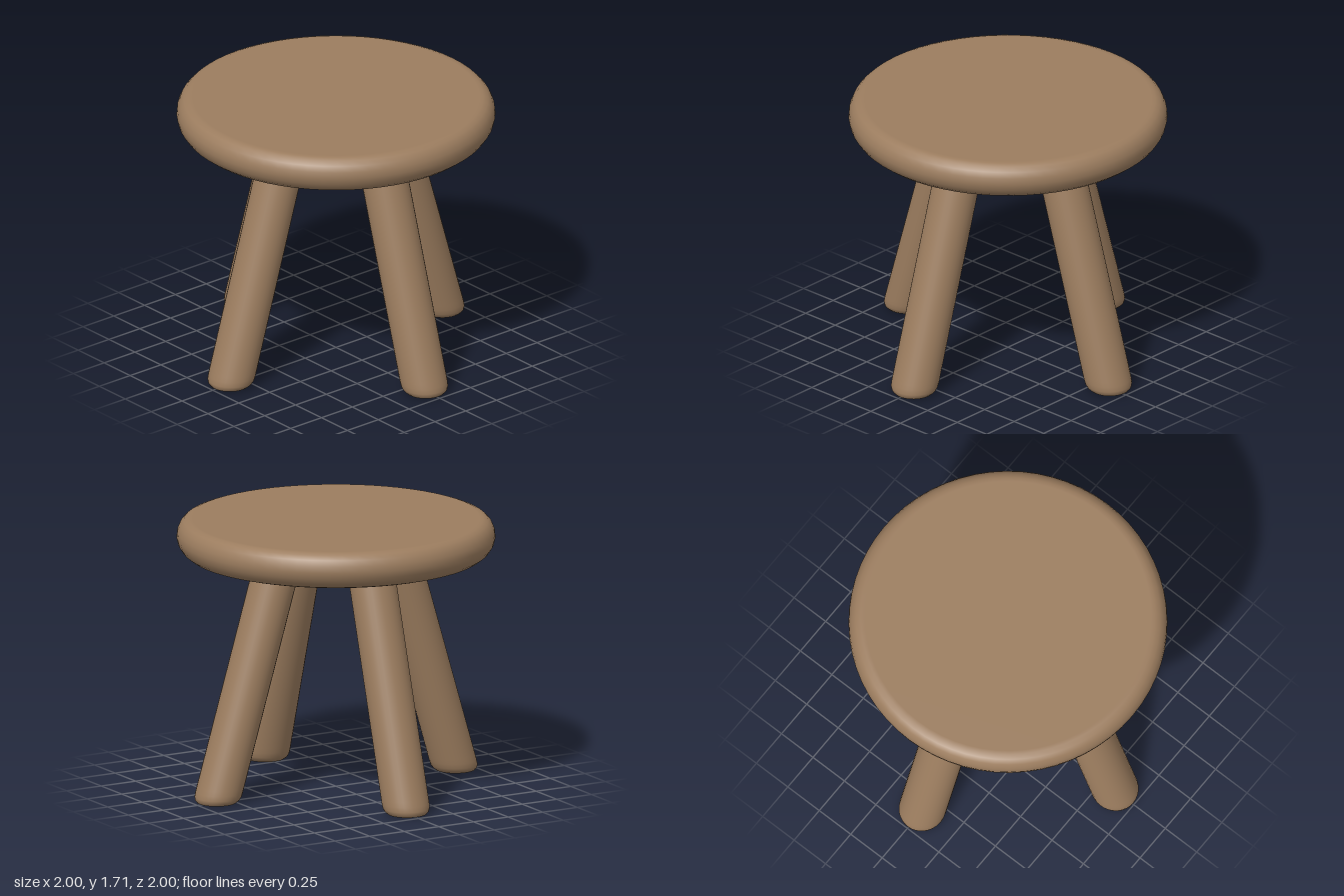
import * as THREE from 'three';

const wood = new THREE.MeshStandardMaterial({ color: 0x9c7d5f });
wood.name = 'brown wood';
const dark = new THREE.MeshStandardMaterial({ color: 0x3f3226 });
dark.name = 'dark foot';

const lathe = (pts, n) => new THREE.LatheGeometry(pts.map(([r, y]) => new THREE.Vector2(r, y)), n);

function part(name, geometry, material) {
  const mesh = new THREE.Mesh(geometry, material);
  mesh.name = name;
  return mesh;
}

export function createModel() {
  const model = new THREE.Group();
  model.name = 'stool';

  // Round seat with a softly rolled rim
  model.add(part('seat', lathe([
    [0, 1.475], [0.85, 1.475], [0.88, 1.476], [0.92, 1.488], [0.955, 1.515], [0.98, 1.553],
    [0.99, 1.595], [0.986, 1.635], [0.97, 1.672], [0.945, 1.698], [0.915, 1.709],
    [0.89, 1.71], [0, 1.71],
  ], 64), wood));

  // Splayed legs: a round profile sheared outward so the feet stay level
  const shear = new THREE.Matrix4().set(
    1, -0.3, 0, 0.864,
    0, 1, 0, 0,
    0, 0, 1, 0,
    0, 0, 0, 1);
  const legGeometry = lathe([
    [0.1, 0], [0.122, 0.005], [0.138, 0.02], [0.146, 0.04], [0.148, 0.07], [0.148, 0.1],
    [0.148, 1.42], [0.147, 1.455], [0.142, 1.478], [0.13, 1.5],
  ], 32).applyMatrix4(shear);
  const footGeometry = new THREE.CircleGeometry(0.1, 32).rotateX(Math.PI / 2).applyMatrix4(shear);

  ['leftLeg', 'backLeg', 'rightLeg', 'frontLeg'].forEach((name, i) => {
    const leg = new THREE.Group();
    leg.name = name;
    leg.add(part('shaft', legGeometry, wood), part('footEnd', footGeometry, dark));
    leg.rotation.y = i * Math.PI / 2;
    model.add(leg);
  });
  return model;
}
